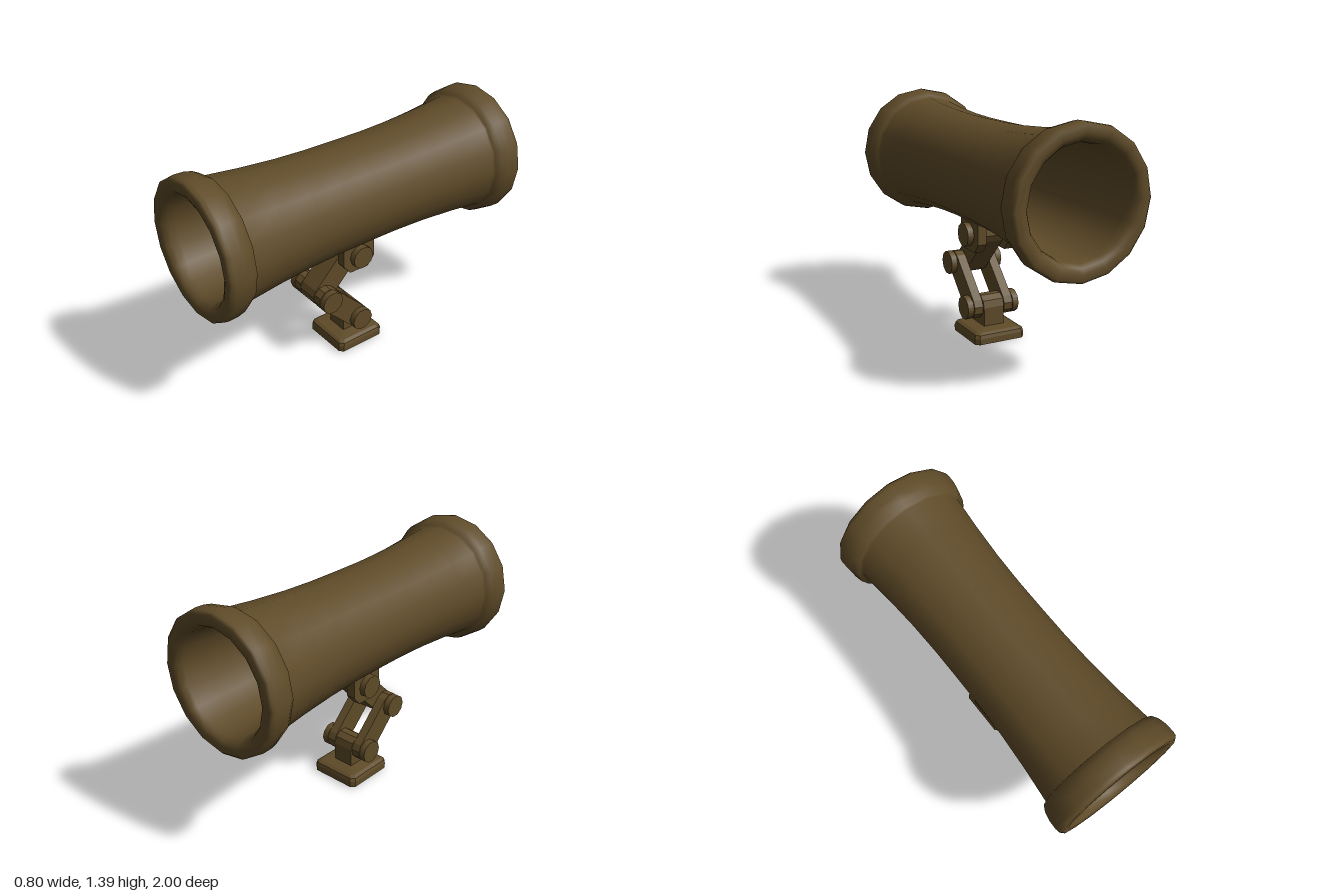
import * as THREE from 'three';

const brown = new THREE.MeshStandardMaterial({ color: 0x5f4b28 });
const brownFlat = new THREE.MeshStandardMaterial({ color: 0x5f4b28, flatShading: true });

function add(group, name, geometry, material = brown) {
  const mesh = new THREE.Mesh(geometry, material);
  mesh.name = name;
  group.add(mesh);
  return mesh;
}

// Plate with an outline of [z, y] points, spanning x0..x1
function plate(points, x0, x1) {
  const shape = new THREE.Shape(points.map(([z, y]) => new THREE.Vector2(-z, y)));
  const g = new THREE.ExtrudeGeometry(shape, { depth: x1 - x0, bevelEnabled: false });
  return g.rotateY(Math.PI / 2).translate(x0, 0, 0);
}

// Round-ended outline between two [z, y] pivots
function linkOutline(a, b, r) {
  const along = Math.atan2(b[1] - a[1], b[0] - a[0]);
  const points = [];
  for (const [centre, start] of [[b, along - Math.PI / 2], [a, along + Math.PI / 2]]) {
    for (let i = 0; i <= 5; i++) {
      const t = start + (i * Math.PI) / 5;
      points.push([centre[0] + r * Math.cos(t), centre[1] + r * Math.sin(t)]);
    }
  }
  return points;
}

// Square foot with cut corners and a gently sloping top
function footGeometry() {
  const profile = [[0, 0], [0.16, 0], [0.16, 0.035], [0.154, 0.055], [0.135, 0.066], [0.07, 0.075], [0, 0.075]];
  const g = new THREE.LatheGeometry(profile.map(p => new THREE.Vector2(...p)), 8);
  const c = 0.86;
  const ring = [[-c, 1], [c, 1], [1, c], [1, -c], [c, -1], [-c, -1], [-1, -c], [-1, c]];
  const pos = g.attributes.position;
  for (let i = 0; i < pos.count; i++) {
    const [dx, dz] = ring[Math.floor(i / profile.length) % 8];
    const r = profile[i % profile.length][0];
    pos.setXYZ(i, r * dx, pos.getY(i), r * dz);
  }
  return g;
}

// Hollow flared barrel with a thick rolled rim at both ends
function barrelGeometry() {
  const outer = [[0.305, 0], [0.306, 0.2], [0.313, 0.4], [0.329, 0.62], [0.35, 0.825],
    [0.368, 0.83], [0.388, 0.865], [0.398, 0.91], [0.4, 0.965], [0.396, 0.988], [0.382, 1]];
  const inner = [[0.345, 1], [0.318, 0.988], [0.302, 0.96], [0.295, 0.92], [0.29, 0.82],
    [0.28, 0.6], [0.27, 0.3], [0.267, 0]];
  const flip = list => list.slice().reverse().map(([r, z]) => [r, -z]);
  const loop = [...flip(inner), ...flip(outer).slice(0, -1), ...outer, ...inner];
  const g = new THREE.LatheGeometry(loop.map(p => new THREE.Vector2(...p)), 16);
  return g.rotateX(Math.PI / 2).translate(0, 0.985, 0);
}

export function createModel() {
  const model = new THREE.Group();
  model.name = 'tubeOnFoldingStand';
  add(model, 'barrel', barrelGeometry());

  const low = [0, 0.185], elbow = [0.22, 0.405], top = [0, 0.63], r = 0.07;
  const stand = new THREE.Group();
  stand.name = 'stand';
  model.add(stand);

  // Foot and its round-topped post
  add(stand, 'foot', footGeometry(), brownFlat);
  add(stand, 'post', plate(linkOutline([0, 0.06], low, r), -0.065, 0.065)).name = 'post';

  // Single upper arm, twin lower links and twin brackets under the barrel
  add(stand, 'upperArm', plate(linkOutline(elbow, top, r), -0.065, 0.065));
  const bracket = [[0.11, 0.715], [0.11, 0.585], [0.065, 0.53], [-0.065, 0.53], [-0.11, 0.585], [-0.11, 0.715]];
  for (const [label, x0, x1] of [['left', 0.07, 0.125], ['right', -0.125, -0.07]]) {
    add(stand, label + 'LowerLink', plate(linkOutline(low, elbow, r), x0, x1));
    add(stand, label + 'Bracket', plate(bracket, x0, x1));
  }

  // Hinge pins with a bolt head on each side
  for (const [label, [z, y]] of [['low', low], ['elbow', elbow], ['top', top]]) {
    const hinge = new THREE.Group();
    hinge.name = label + 'Hinge';
    hinge.position.set(0, y, z);
    stand.add(hinge);
    add(hinge, 'pin', new THREE.CylinderGeometry(0.055, 0.055, 0.3, 10).rotateZ(Math.PI / 2));
    for (const side of [-1, 1]) {
      const head = add(hinge, 'boltHead', new THREE.CylinderGeometry(r, r, 0.037, 10).rotateZ(Math.PI / 2));
      head.position.x = side * 0.148;
    }
  }
  return model;
}
